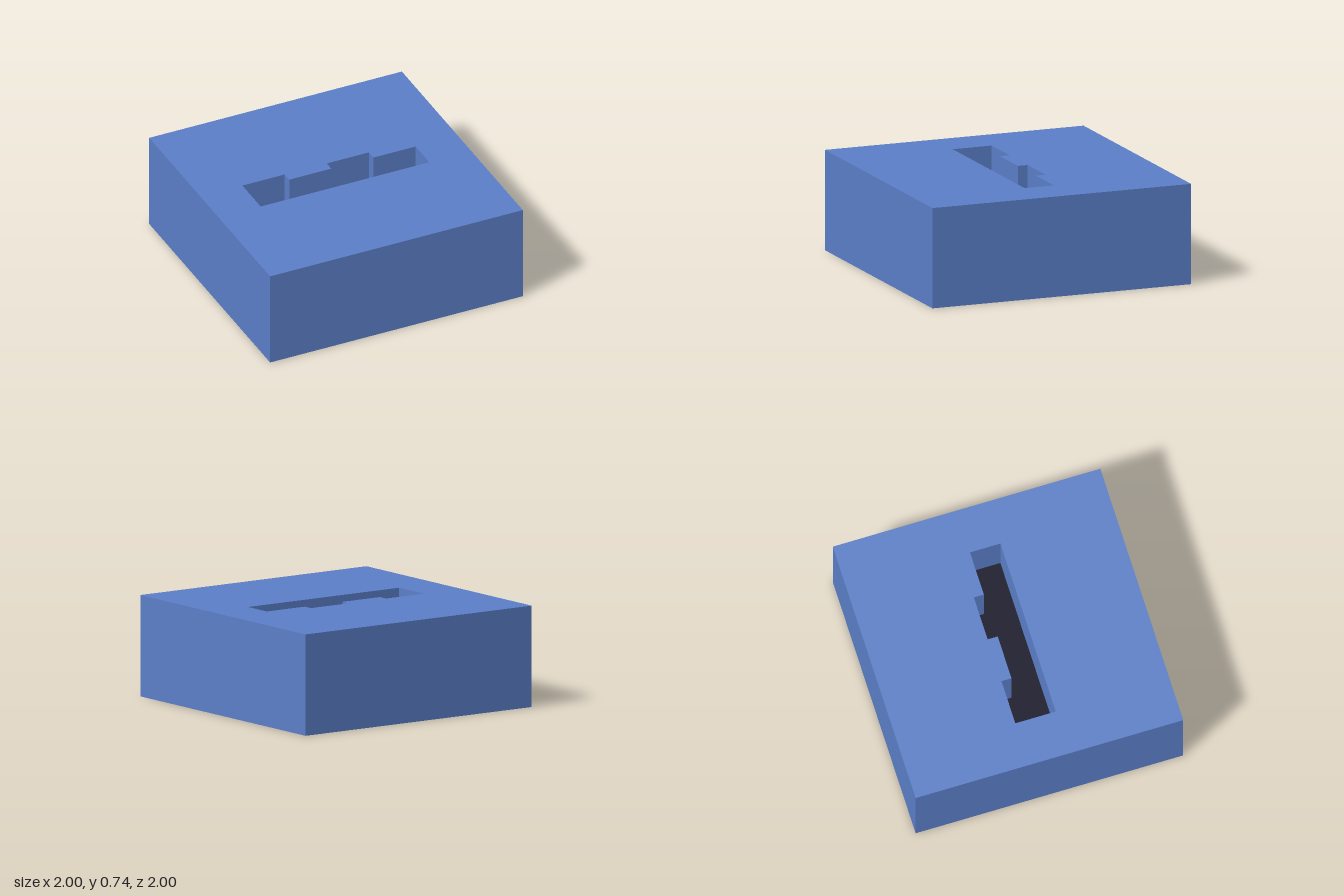
import * as THREE from 'three';

const HEIGHT = 0.735; // top of the block
const FLOOR = 0.33;   // bottom of the slot

// Stepped slot outline, counter-clockwise seen from above (shape y = -z)
const slotPoints = [
  [-0.668, -0.15], [0.668, -0.15], [0.668, 0.077], [0.333, 0.077],
  [0.333, 0.152], [0, 0.152], [0, 0.077], [-0.333, 0.077],
  [-0.333, 0.152], [-0.668, 0.152],
].map(([x, y]) => new THREE.Vector2(x, y));

// Flat horizontal face from a shape, facing up
function flatFace(shape, y) {
  return new THREE.ShapeGeometry(shape).rotateX(-Math.PI / 2).translate(0, y, 0);
}

// Vertical walls along a closed outline, facing inward
function innerWalls(points, y0, y1) {
  const positions = [];
  points.forEach((a, i) => {
    const b = points[(i + 1) % points.length];
    positions.push(
      b.x, y0, -b.y, a.x, y0, -a.y, a.x, y1, -a.y,
      b.x, y0, -b.y, a.x, y1, -a.y, b.x, y1, -b.y,
    );
  });
  const geometry = new THREE.BufferGeometry();
  geometry.setAttribute('position', new THREE.Float32BufferAttribute(positions, 3));
  geometry.computeVertexNormals();
  return geometry;
}

export function createModel() {
  const model = new THREE.Group();
  model.name = 'slottedBlock';
  const blue = new THREE.MeshStandardMaterial({ color: 0x5b7fc8 });
  const dark = new THREE.MeshStandardMaterial({ color: 0x0c0c26 });

  const add = (name, geometry, material) => {
    const mesh = new THREE.Mesh(geometry, material);
    mesh.name = name;
    model.add(mesh);
  };

  // Block sides and underside: a box without its top face
  const body = new THREE.BoxGeometry(2, HEIGHT, 2).translate(0, HEIGHT / 2, 0);
  const index = Array.from(body.index.array);
  index.splice(12, 6);
  body.setIndex(index);
  body.clearGroups();
  add('blockBody', body, blue);

  // Top face with the slot opening
  const top = new THREE.Shape([[-1, -1], [1, -1], [1, 1], [-1, 1]].map(([x, y]) => new THREE.Vector2(x, y)));
  top.holes.push(new THREE.Path(slotPoints));
  add('blockTop', flatFace(top, HEIGHT), blue);

  // Recess walls and dark floor
  add('slotWalls', innerWalls(slotPoints, FLOOR, HEIGHT), blue);
  add('slotFloor', flatFace(new THREE.Shape(slotPoints), FLOOR), dark);

  return model;
}
